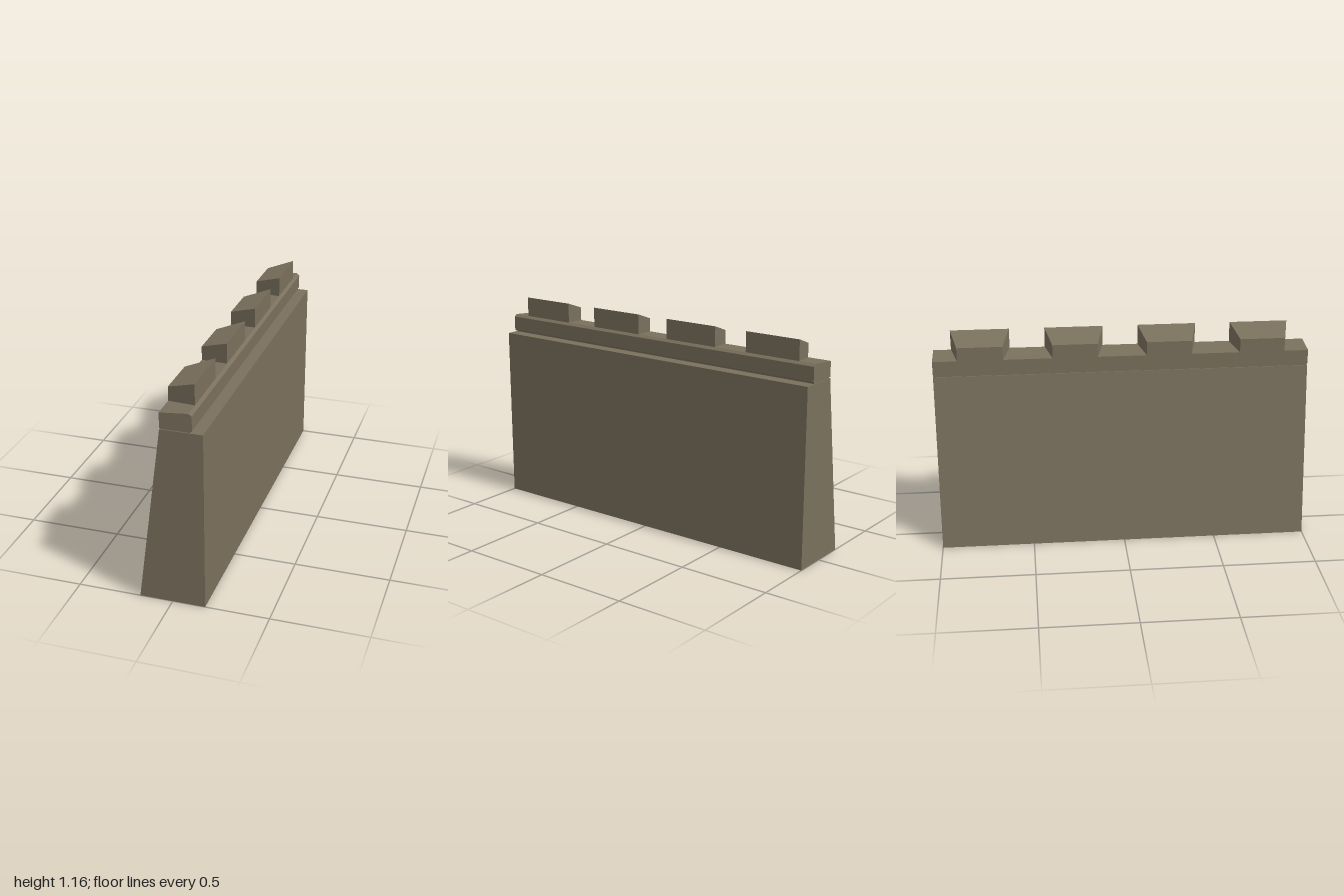
import * as THREE from 'three';

const stone = new THREE.MeshStandardMaterial({ color: 0x7a705d, side: THREE.DoubleSide });
stone.name = 'stone';

const INNER = -0.045; // x of the upper inner face shared by wall, cap and merlons

// Box whose corners are moved by a rule; the rule gets the signs of each corner
function shapedBox(name, rule) {
  const geo = new THREE.BoxGeometry(2, 2, 2);
  const p = geo.attributes.position;
  for (let i = 0; i < p.count; i++) {
    p.setXYZ(i, ...rule(p.getX(i), p.getY(i), p.getZ(i)));
  }
  geo.computeVertexNormals();
  const mesh = new THREE.Mesh(geo, stone);
  mesh.name = name;
  return mesh;
}

export function createModel() {
  const model = new THREE.Group();
  model.name = 'battlementWall';

  // Wall: upright outer face, inner face leaning in, open underneath
  const wall = shapedBox('wall', (x, y, z) => [
    x > 0 ? 0.17 : y > 0 ? INNER : -0.172,
    y > 0 ? 0.954 : 0,
    z,
  ]);
  const index = Array.from(wall.geometry.index.array);
  index.splice(18, 6); // drop the bottom face
  wall.geometry.setIndex(index);
  wall.geometry.clearGroups();
  model.add(wall);

  // Cap: gently sloped course with chamfered outer edges
  const profile = new THREE.Shape([
    [INNER, 0.96], [0.111, 0.96], [0.116, 0.966], [0.116, 1.042],
    [0.1, 1.054], [INNER, 1.041],
  ].map(([x, y]) => new THREE.Vector2(x, y)));
  const capGeo = new THREE.ExtrudeGeometry(profile, { depth: 2, bevelEnabled: false });
  capGeo.translate(0, 0, -1);
  const cap = new THREE.Mesh(capGeo, stone);
  cap.name = 'cap';
  model.add(cap);

  // Dark joint between wall and cap
  const joint = shapedBox('joint', (x, y, z) => [
    x > 0 ? 0.105 : INNER + 0.005,
    y > 0 ? 0.962 : 0.952,
    z * 0.995,
  ]);
  model.add(joint);

  // Merlons: flared toward the outer side, tops rising outward
  for (const centre of [-0.75, -0.25, 0.25, 0.75]) {
    model.add(shapedBox('merlon', (x, y, z) => [
      x > 0 ? 0.1 : INNER,
      y > 0 ? (x > 0 ? 1.162 : 1.114) : 1.03,
      centre + z * (x > 0 ? 0.156 : 0.12),
    ]));
  }

  return model;
}
